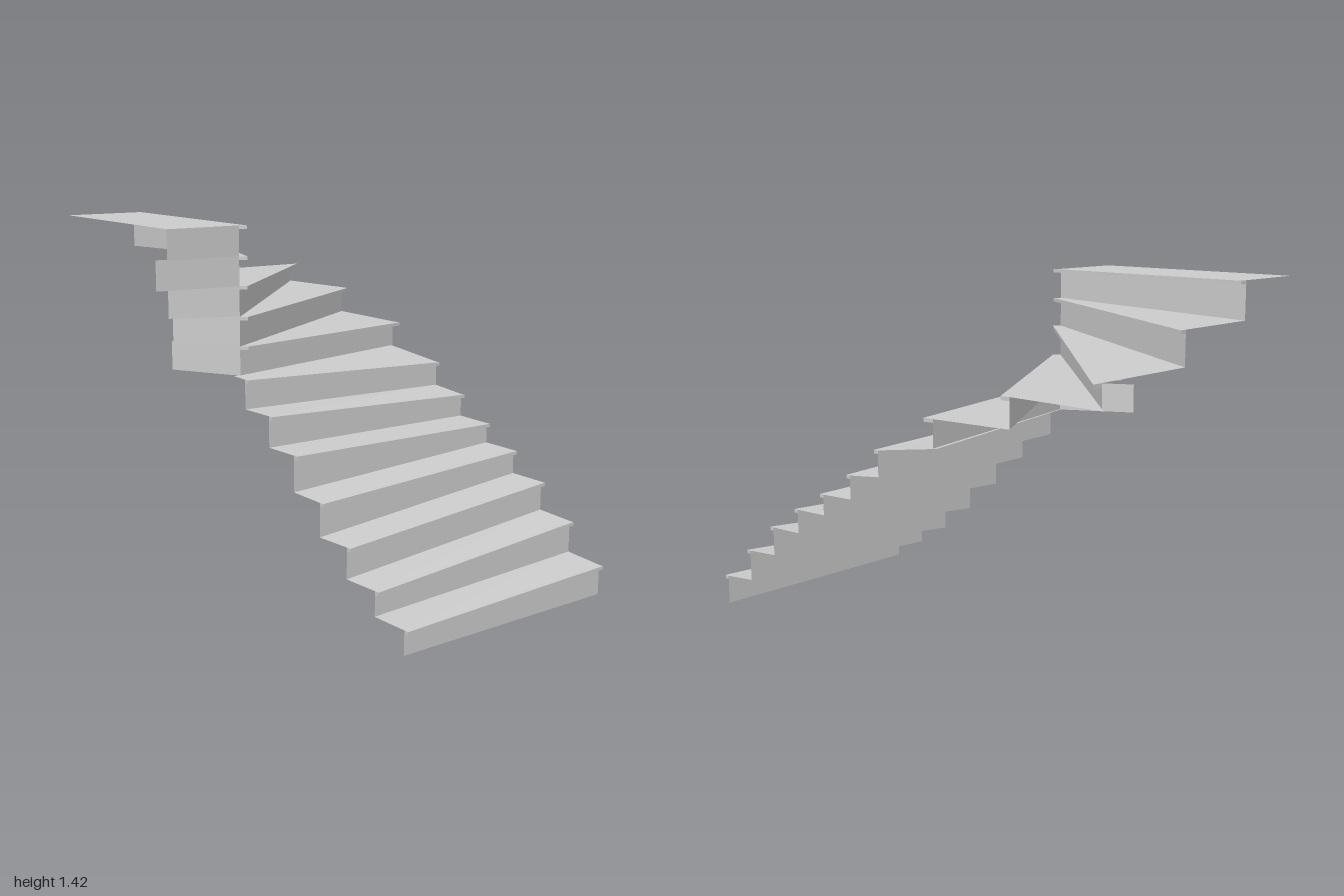
import * as THREE from 'three';

const LIP = 0.014; // nosing thickness

export function createModel() {
  const group = new THREE.Group();
  const material = new THREE.MeshStandardMaterial({ color: 0xcccccc, side: THREE.DoubleSide, flatShading: true });

  // Mesh from four-cornered panels; each corner is [x, y, z]
  function panels(name, quads) {
    const pos = [];
    for (const [a, b, c, d] of quads) pos.push(...a, ...b, ...c, ...a, ...c, ...d);
    const g = new THREE.BufferGeometry();
    g.setAttribute('position', new THREE.Float32BufferAttribute(pos, 3));
    g.computeVertexNormals();
    const mesh = new THREE.Mesh(g, material);
    mesh.name = name;
    group.add(mesh);
  }
  const lower = ([x, y, z], d = LIP) => [x, y - d, z];
  const at = ([x, z], y) => [x, y, z];

  // Each step: nosing line and riser line in plan (inner, outer end),
  // then heights of the nosing and of the tread's rear edge (inner, outer)
  const steps = [];
  const straightHeights = [
    [0.093, 0.12, 0.095, 0.133], [0.19, 0.26, 0.19, 0.27], [0.31, 0.387, 0.308, 0.39],
    [0.44, 0.487, 0.445, 0.49], [0.587, 0.573, 0.587, 0.578], [0.71, 0.672, 0.71, 0.688],
    [0.828, 0.79, 0.83, 0.83],
  ];
  straightHeights.forEach((h, i) => {
    const x = 0.997 - i * 0.157;
    steps.push({ nose: [[x, 0.35], [x, -0.66]], riser: [[x - 0.02, 0.35], [x - 0.02, -0.66]], h });
  });

  // Winders fan out from the inner corner
  const pivotNose = [-0.02, 0.295], pivotRiser = [-0.04, 0.32];
  const winders = [
    [[-0.19, -0.645], [-0.235, -0.642], [0.945, 0.937, 0.945, 0.943]],
    [[-0.56, -0.645], [-0.6, -0.645], [1.062, 1.055, 1.062, 1.05]],
    [[-0.965, -0.66], [-0.965, -0.612], [1.183, 1.135, 1.183, 1.137]],
    [[-0.965, -0.17], [-0.965, -0.14], [1.298, 1.268, 1.3, 1.27]],
    [[-0.965, 0.21], [-0.965, 0.245], [1.417, 1.417, 1.417, 1.417]],
  ];
  for (const [nose, riser, h] of winders) steps.push({ nose: [pivotNose, nose], riser: [pivotRiser, riser], h });

  // Rear edges that differ from the next riser line
  steps[6].rear = [[-0.04, 0.35], [-0.25, -0.64]];
  steps[8].rear = [pivotRiser, [-1, -0.645]];
  steps[11].rear = [[-0.04, 0.643], [-0.965, 0.562]];

  steps.forEach((s, i) => {
    const n = i + 1;
    const rear = s.rear || steps[i + 1].riser;
    const [ni, no, ri, ro] = s.h;
    const a = at(s.nose[0], ni), b = at(s.nose[1], no);
    const c = at(s.riser[0], ni), d = at(s.riser[1], no);
    panels('tread' + n, [[a, b, d, c], [c, d, at(rear[1], ro), at(rear[0], ri)]]);

    // Nosing: front, underside and two ends
    const [la, lb, lc, ld] = [a, b, c, d].map((p) => lower(p));
    panels('nosing' + n, [[a, la, lb, b], [la, lc, ld, lb], [a, c, lc, la], [b, lb, ld, d], [c, d, ld, lc]]);

    // Riser stands on the rear edge of the tread below
    const below = i ? steps[i - 1].h : [0, 0, 0, 0];
    panels('riser' + n, [[at(s.riser[0], below[2]), at(s.riser[1], below[3]), d, c]]);
  });

  // Upright plates fanned around the inner corner beneath the winders
  const plateEnds = [[-0.318, 0.46], [-0.21, 0.52], [-0.152, 0.575], [-0.09, 0.665], [-0.04, 0.645]];
  plateEnds.forEach((end, i) => {
    const y0 = 0.829 + i * 0.1176, y1 = y0 + 0.1176;
    panels('innerPlate' + (i + 1), [[at(pivotRiser, y0), at(end, y0), at(end, y1), at(pivotRiser, y1)]]);
  });

  return group;
}
